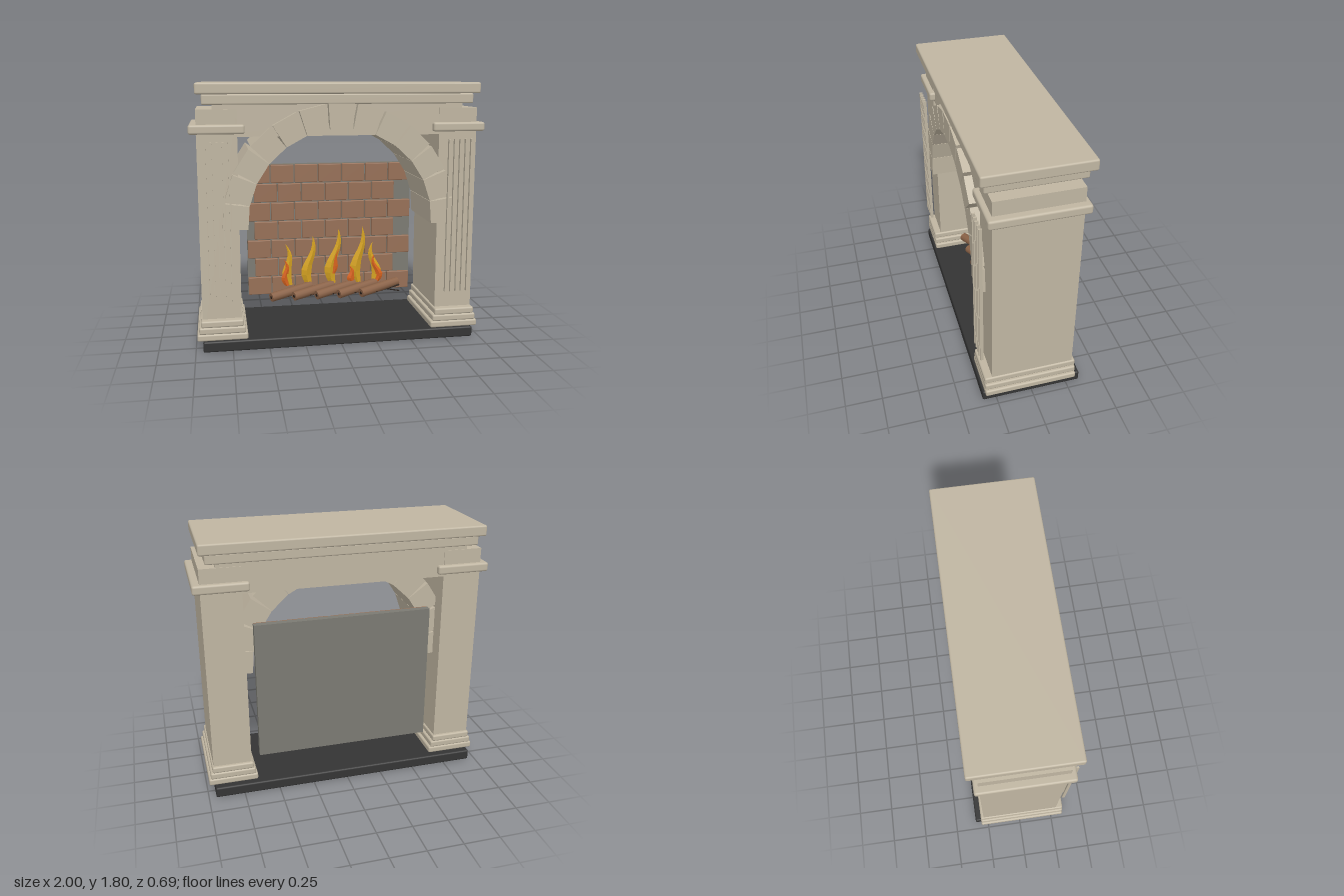
import * as THREE from 'three';
import { RoundedBoxGeometry } from 'three/addons/geometries/RoundedBoxGeometry.js';

const mat = (name, color, opts = {}) => {
  const m = new THREE.MeshStandardMaterial({ color, ...opts });
  m.name = name;
  return m;
};

export function createModel() {
  const stone = mat('stone', 0xbfb5a1);
  const slate = mat('dark slate', 0x343434);
  const backing = mat('grey backing', 0x7b7a72);
  const brick = mat('brick', 0x966f56);
  const bark = mat('log wood', 0x8a6247);
  const iron = mat('charred twig', 0x2a211b);
  const yellow = mat('yellow flame', 0xd6a322, { flatShading: true });
  const orange = mat('orange flame', 0xd8631f, { flatShading: true });

  const model = new THREE.Group();
  model.name = 'fireplace';

  const add = (name, geo, material, parent = model) => {
    const m = new THREE.Mesh(geo, material);
    m.name = name;
    parent.add(m);
    return m;
  };
  // Box given by its minimum and maximum on each axis; r rounds the edges
  const box = (name, [x0, x1], [y0, y1], [z0, z1], material, r = 0, parent = model) => {
    const s = [x1 - x0, y1 - y0, z1 - z0];
    const geo = r ? new RoundedBoxGeometry(...s, 2, r) : new THREE.BoxGeometry(...s);
    const m = add(name, geo, material, parent);
    m.position.set((x0 + x1) / 2, (y0 + y1) / 2, (z0 + z1) / 2);
    return m;
  };
  // Thin rod between two points
  const rod = (name, a, b, r, material, sides, parent) => {
    const dir = b.clone().sub(a);
    const m = add(name, new THREE.CylinderGeometry(r, r, dir.length(), sides), material, parent);
    m.position.copy(a).addScaledVector(dir, 0.5);
    m.quaternion.setFromUnitVectors(new THREE.Vector3(0, 1, 0), dir.normalize());
    return m;
  };

  // Hearth, lintel and mantel shelf
  box('hearth', [-0.95, 0.95], [0, 0.075], [-0.345, 0.345], slate, 0.012);
  box('lintel', [-0.845, 0.845], [1.45, 1.665], [-0.275, 0.275], stone);
  box('mantelMoulding', [-0.91, 0.91], [1.66, 1.727], [-0.31, 0.315], stone, 0.01);
  box('mantelShelf', [-0.95, 0.95], [1.727, 1.8], [-0.345, 0.345], stone, 0.012);

  // Pillars with stepped bases, capitals and raised reeds
  for (const side of [-1, 1]) {
    const pillar = new THREE.Group();
    pillar.name = side > 0 ? 'leftPillar' : 'rightPillar';
    model.add(pillar);
    const span = (a, b) => (side > 0 ? [a, b] : [-b, -a]);
    box('shaft', span(0.685, 0.95), [0.075, 1.63], [-0.28, 0.28], stone, 0, pillar);
    for (let i = 0; i < 3; i++) {
      const inset = i * 0.014;
      box('baseTier', span(0.645 + inset, 0.988 - inset), [0.075 + i * 0.047, 0.122 + i * 0.047],
        [-0.302, 0.332], stone, 0.012, pillar);
    }
    box('capital', span(0.637, 1), [1.47, 1.532], [-0.31, 0.315], stone, 0.015, pillar);
    for (let i = 0; i < 5; i++) {
      const x = 0.742 + i * 0.039;
      box('reed', span(x - 0.006, x + 0.006), [0.345, 1.42], [0.325, 0.347], stone, 0, pillar);
    }
  }

  // Arch of thirteen wedge stones
  const arch = new THREE.Group();
  arch.name = 'arch';
  model.add(arch);
  const wedge = new THREE.Shape([[-0.077, 0.624], [0.077, 0.624], [0.088, 0.793], [-0.088, 0.793]]
    .map(([x, y]) => new THREE.Vector2(x, y)));
  const wedgeGeo = new THREE.ExtrudeGeometry(wedge, { depth: 0.495, bevelEnabled: false });
  for (let i = -6; i <= 6; i++) {
    const s = add(i === 0 ? 'keystone' : 'archStone', wedgeGeo, stone, arch);
    s.position.set(0, 0.87, -0.168);
    s.rotation.z = THREE.MathUtils.degToRad(i * 14.3);
  }

  // Fireback with staggered bricks
  const fireback = new THREE.Group();
  fireback.name = 'fireback';
  model.add(fireback);
  box('backPanel', [-0.617, 0.617], [0.225, 1.208], [-0.235, -0.19], backing, 0, fireback);
  const pitch = 0.1764, rowH = 0.1405;
  for (let row = 0; row < 7; row++) {
    const odd = row % 2 === 1;
    const start = odd ? -0.566 : -0.618;
    for (let i = 0; i < (odd ? 6 : 7); i++) {
      const x = start + i * pitch, y = 0.225 + row * rowH;
      box('brick', [x + 0.004, x + pitch - 0.004], [y + 0.004, y + rowH - 0.004],
        [-0.195, -0.168], brick, 0.005, fireback);
    }
  }

  // Slanted logs with charred twigs beneath
  const logs = new THREE.Group();
  logs.name = 'logs';
  model.add(logs);
  for (let i = 0; i < 5; i++) {
    const x = -0.47 + i * 0.162;
    const a = new THREE.Vector3(x, 0.298, 0.13);
    const b = new THREE.Vector3(x + 0.3, 0.335, 0);
    rod('log', a, b, 0.032, bark, 12, logs);
    rod('logCore', a.clone().lerp(b, -0.006), a, 0.012, iron, 8, logs);
    rod('twig', new THREE.Vector3(x + 0.03, 0.265, 0.09), new THREE.Vector3(x + 0.31, 0.315, 0.03),
      0.006, iron, 6, logs);
    rod('twig', new THREE.Vector3(x + 0.12, 0.29, -0.03), new THREE.Vector3(x + 0.29, 0.295, 0.11),
      0.005, iron, 6, logs);
  }

  // Flame: diamond cross-sections swept up a wavering, tapering path
  const flameGeo = (h, w, lean, wave) => {
    const N = 10, pos = [], idx = [];
    for (let i = 0; i <= N; i++) {
      const t = i / N;
      const r = w * (t < 0.3 ? 0.6 + 0.4 * Math.sin((t / 0.3) * Math.PI / 2) : Math.pow((1 - t) / 0.7, 0.85));
      const cx = lean * t * t + wave * Math.sin(t * Math.PI * 2);
      for (let k = 0; k < 4; k++) {
        const a = (k * Math.PI) / 2;
        pos.push(cx + r * Math.cos(a), h * t, 0.6 * r * Math.sin(a));
      }
    }
    for (let i = 0; i < N; i++) {
      for (let k = 0; k < 4; k++) {
        const a = i * 4 + k, b = i * 4 + ((k + 1) % 4);
        idx.push(a, a + 4, b, b, a + 4, b + 4);
      }
    }
    idx.push(0, 1, 2, 0, 2, 3);
    const g = new THREE.BufferGeometry();
    g.setAttribute('position', new THREE.Float32BufferAttribute(pos, 3));
    g.setIndex(idx);
    g.computeVertexNormals();
    return g;
  };
  const fire = new THREE.Group();
  fire.name = 'fire';
  model.add(fire);
  // x, base y, z, height, half width, lean, wave, material
  const flames = [
    [-0.325, 0.345, 0, 0.31, 0.034, -0.03, -0.018, yellow],
    [-0.185, 0.345, 0, 0.36, 0.038, 0.03, -0.02, yellow],
    [-0.01, 0.345, 0, 0.41, 0.04, 0.045, -0.022, yellow],
    [0.18, 0.345, 0, 0.42, 0.04, 0.03, -0.022, yellow],
    [0.3, 0.345, 0, 0.3, 0.035, -0.01, 0.022, yellow],
    [-0.345, 0.345, 0.015, 0.2, 0.024, -0.025, -0.016, orange],
    [0.0, 0.42, 0.01, 0.19, 0.018, 0.045, 0.008, orange],
    [0.135, 0.345, 0.015, 0.13, 0.028, -0.02, -0.01, orange],
    [0.32, 0.345, 0.015, 0.21, 0.026, -0.02, 0.02, orange],
  ];
  for (const [x, y, z, h, w, lean, wave, m] of flames) {
    add('flame', flameGeo(h, w, lean, wave), m, fire).position.set(x, y, z);
  }

  return model;
}
